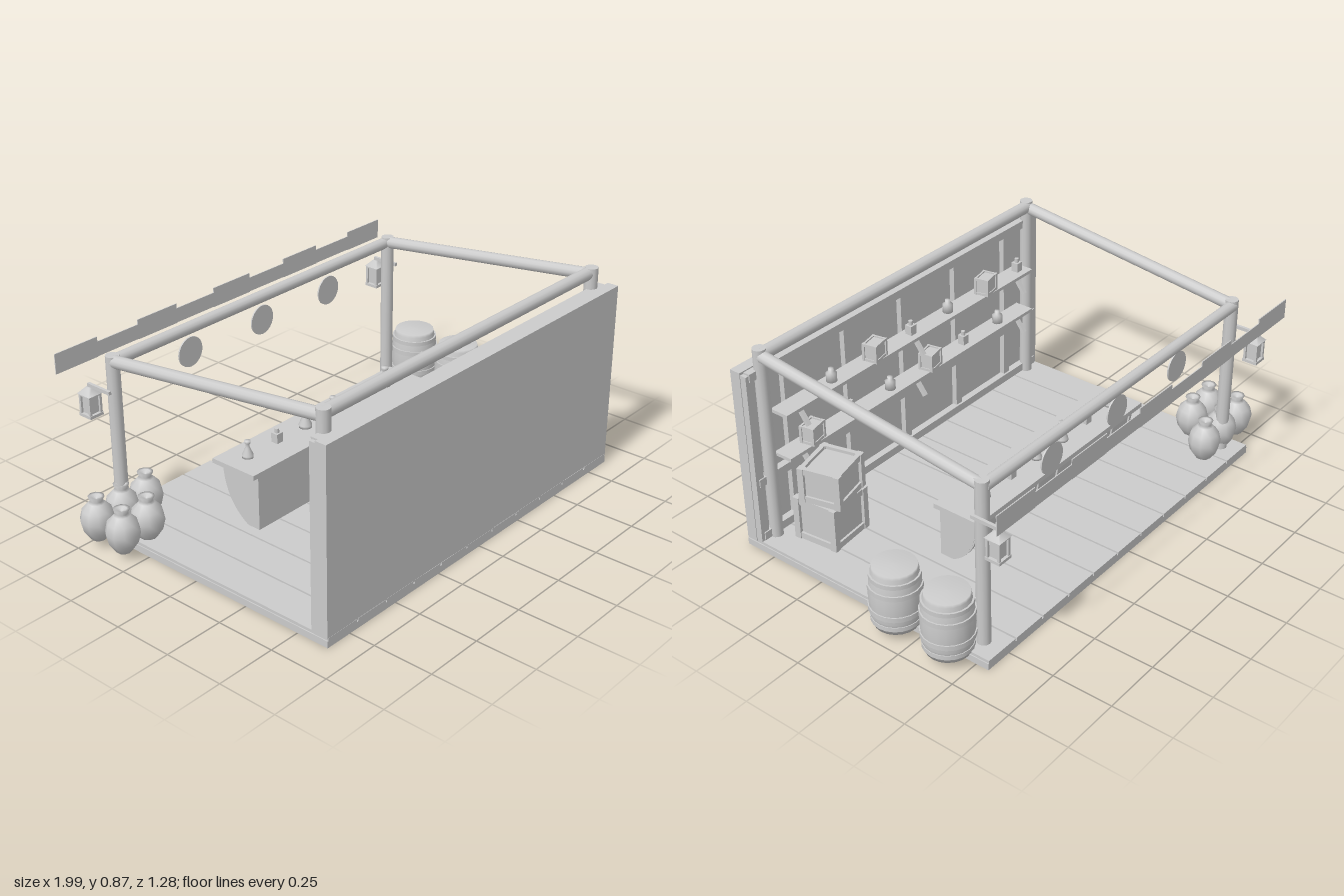
import * as THREE from 'three';

const mat = new THREE.MeshStandardMaterial({ color: 0xcccccc });
const thin = new THREE.MeshStandardMaterial({ color: 0xcccccc, side: THREE.DoubleSide });

function add(parent, name, geo, x = 0, y = 0, z = 0, m = mat) {
  const mesh = new THREE.Mesh(geo, m);
  mesh.name = name;
  mesh.position.set(x, y, z);
  parent.add(mesh);
  return mesh;
}
function group(parent, name, x = 0, y = 0, z = 0) {
  const g = new THREE.Group();
  g.name = name;
  g.position.set(x, y, z);
  parent.add(g);
  return g;
}
const box = (w, h, d) => new THREE.BoxGeometry(w, h, d);
const lathe = (pts, n) => new THREE.LatheGeometry(pts.map(p => new THREE.Vector2(...p)), n);

// Round timber between two points
function pole(parent, name, a, b, r) {
  const va = new THREE.Vector3(...a), vb = new THREE.Vector3(...b);
  const dir = vb.clone().sub(va);
  const mesh = add(parent, name, new THREE.CylinderGeometry(r, r, dir.length(), 12));
  mesh.position.copy(va).add(vb).multiplyScalar(0.5);
  mesh.quaternion.setFromUnitVectors(new THREE.Vector3(0, 1, 0), dir.normalize());
}

// Crate: panelled body, corner posts and edge rails; origin at its base
function crate(parent, name, x, y, z, w, h, d, turn) {
  const g = group(parent, name, x, y, z), t = w * 0.13;
  g.rotation.y = turn;
  add(g, 'crateBody', box(w - t, h - t, d - t), 0, h / 2, 0);
  for (const s of [-1, 1]) {
    for (const q of [-1, 1]) add(g, 'cratePost', box(t, h, t), s * (w - t) / 2, h / 2, q * (d - t) / 2);
    for (const yy of [t / 2, h - t / 2]) {
      add(g, 'crateRail', box(w - 2 * t, t, t * 0.7), 0, yy, s * (d - t) / 2);
      add(g, 'crateRail', box(t * 0.7, t, d - 2 * t), s * (w - t) / 2, yy, 0);
    }
  }
}

// Small goods
function flask(parent, x, y, z, s = 1) {
  const pts = [[0, 0], [0.024, 0], [0.024, 0.01], [0.009, 0.045], [0.009, 0.062], [0.013, 0.064], [0.013, 0.075], [0, 0.075]];
  add(parent, 'flask', lathe(pts.map(p => [p[0] * s, p[1] * s]), 12), x, y, z);
}
function roundJar(parent, x, y, z) {
  add(parent, 'roundJar', lathe([[0, 0], [0.022, 0], [0.022, 0.035], [0.011, 0.042], [0.011, 0.055], [0, 0.055]], 12), x, y, z);
}
function squareBottle(parent, x, y, z) {
  add(parent, 'squareBottle', box(0.032, 0.04, 0.032), x, y + 0.02, z);
  add(parent, 'bottleNeck', new THREE.CylinderGeometry(0.009, 0.009, 0.018, 8), x, y + 0.049, z);
}

function barrel(parent, x, z) {
  const g = group(parent, 'barrel', x, 0.04, z);
  add(g, 'barrelStaves', lathe([[0, 0], [0.086, 0], [0.096, 0.05], [0.101, 0.125], [0.096, 0.2], [0.086, 0.243], [0.084, 0.255], [0, 0.257]], 20));
  for (const [y, r, h] of [[0.03, 0.097, 0.018], [0.078, 0.103, 0.02], [0.172, 0.103, 0.02], [0.218, 0.097, 0.018]])
    add(g, 'barrelHoop', new THREE.CylinderGeometry(r, r, h, 20), 0, y, 0);
}

function lantern(parent, s) {
  const g = group(parent, 'lantern', s * 0.828, 0, -0.57);
  add(g, 'lanternArm', box(0.012, 0.014, 0.12), 0, 0.603, 0.055);
  const roof = add(g, 'lanternRoof', new THREE.CylinderGeometry(0.012, 0.048, 0.028, 4), 0, 0.582, 0);
  roof.rotation.y = Math.PI / 4;
  add(g, 'lanternPane', box(0.042, 0.075, 0.042), 0, 0.528, 0);
  add(g, 'lanternBase', box(0.064, 0.012, 0.064), 0, 0.483, 0);
  add(g, 'lanternCollar', box(0.06, 0.01, 0.06), 0, 0.565, 0);
  for (const a of [-1, 1]) for (const b of [-1, 1])
    add(g, 'lanternBar', box(0.01, 0.08, 0.01), a * 0.025, 0.525, b * 0.025);
}

export function createModel() {
  const root = new THREE.Group();
  root.name = 'marketStall';

  // Plank floor
  const floor = group(root, 'floor');
  add(floor, 'floorBase', box(1.735, 0.028, 1.195), 0, 0.014, 0.0425);
  const planks = 11, pw = 1.735 / planks;
  for (let i = 0; i < planks; i++)
    add(floor, 'floorPlank', box(pw - 0.008, 0.014, 1.195), -0.8675 + pw * (i + 0.5), 0.033, 0.0425);

  // Closed wall with its inner framing
  const wall = group(root, 'wall');
  add(wall, 'wallPanel', box(1.735, 0.755, 0.048), 0, 0.4125, 0.615);
  for (let i = -2; i <= 2; i++) add(wall, 'wallStud', box(0.035, 0.74, 0.025), i * 0.33, 0.41, 0.58);
  for (const s of [-1, 1]) add(wall, 'endStud', box(0.04, 0.74, 0.03), s * 0.845, 0.41, 0.578);
  for (const y of [0.06, 0.305, 0.77]) add(wall, 'wallRail', box(1.7, 0.035, 0.03), 0, y, 0.573);

  // Timber frame
  const frame = group(root, 'frame');
  for (const s of [-1, 1]) {
    const x = s * 0.79;
    pole(frame, 'frontPost', [x, 0.02, 0.56], [x, 0.873, 0.56], 0.027);
    pole(frame, 'backPost', [x, 0.02, -0.473], [x, 0.74, -0.473], 0.027);
    pole(frame, 'sideBeam', [x, 0.843, 0.56], [x, 0.715, -0.473], 0.025);
    lantern(root, s);
  }
  pole(frame, 'frontBeam', [-0.79, 0.848, 0.553], [0.79, 0.848, 0.553], 0.026);
  pole(frame, 'backBeam', [-0.79, 0.713, -0.478], [0.79, 0.713, -0.478], 0.024);

  // Hanging valance of alternating strips, and round plates below the beam
  for (let i = 0; i < 9; i++) {
    const h = i % 2 ? 0.06 : 0.082;
    add(root, 'valanceStrip', box(0.205, h, 0.004), (i - 4) * 0.205, 0.698 - (i % 2 ? 0.009 : 0), -0.64);
  }
  for (const x of [-0.4, 0, 0.4]) {
    const disc = add(root, 'hangingPlate', new THREE.CylinderGeometry(0.062, 0.062, 0.006, 24), x, 0.615, -0.473);
    disc.rotation.x = Math.PI / 2;
  }

  // Counter: body curving inwards below the customer side
  const counter = group(root, 'counter');
  add(counter, 'counterTop', box(1.06, 0.02, 0.215), -0.005, 0.279, -0.1275);
  const section = (grow) => {
    const s = new THREE.Shape();
    s.moveTo(0.025, 0.04);
    s.lineTo(0.08 + grow, 0.04);
    s.bezierCurveTo(0.15 + grow, 0.08, 0.2 + grow, 0.15, 0.205 + grow, 0.27);
    s.lineTo(0.025, 0.27);
    s.closePath();
    return s;
  };
  const slab = (name, x, w, grow) => {
    const geo = new THREE.ExtrudeGeometry(section(grow), { depth: w, bevelEnabled: false, curveSegments: 10 });
    geo.rotateY(Math.PI / 2);
    add(counter, name, geo, x - w / 2, 0, 0);
  };
  slab('counterBody', -0.005, 1.0, 0);
  for (let i = 0; i <= 8; i++) slab('counterBatten', -0.005 + (i - 4) * 0.123, 0.014, 0.007);
  for (let i = 0; i < 6; i++) {
    const x = -0.44 + i * 0.163;
    if (i === 1 || i === 4) squareBottle(counter, x, 0.289, -0.14);
    else flask(counter, x, 0.289, -0.14, i === 2 || i === 5 ? 1.12 : 0.95);
  }

  // Wall shelves with slanted brackets and goods
  for (const [y, x0, shift] of [[0.6, 0.485, 1], [0.408, 0.62, 0]]) {
    const shelf = group(root, 'shelf', 0, y, 0);
    add(shelf, 'shelfBoard', box(1.48, 0.014, 0.085), 0.03, 0, 0.508);
    for (const x of [-0.66, 0, 0.66]) {
      const b = add(shelf, 'shelfBracket', box(0.018, 0.11, 0.014), x, -0.047, 0.502);
      b.rotation.x = 0.65;
    }
    for (let i = 0; i < 6; i++) {
      const x = x0 - i * 0.229, kind = (i + 3 - shift) % 3;
      if (kind === 0) crate(shelf, 'smallCrate', x, 0.007, 0.495, 0.085, 0.075, 0.065, 0.2);
      else if (kind === 1) squareBottle(shelf, x, 0.007, 0.51);
      else roundJar(shelf, x, 0.007, 0.51);
    }
  }

  // Stacked crates beside the shelves
  crate(root, 'lowerCrate', 0.645, 0.04, 0.4, 0.21, 0.187, 0.2, 0.1);
  crate(root, 'upperCrate', 0.645, 0.228, 0.385, 0.2, 0.15, 0.18, 0.25);

  // Barrels
  barrel(root, 0.892, -0.152);
  barrel(root, 0.892, -0.395);

  // Clay pots around the other post
  const potShape = [[0, 0.03], [0.03, 0.034], [0.058, 0.075], [0.068, 0.118], [0.058, 0.16], [0.032, 0.188], [0.022, 0.195], [0.032, 0.215], [0.02, 0.214], [0, 0.2]];
  for (const [x, z] of [[-0.932, -0.455], [-0.808, -0.455], [-0.685, -0.455], [-0.932, -0.315], [-0.808, -0.315]])
    add(root, 'clayPot', lathe(potShape, 10), x, 0, z, thin);

  return root;
}
